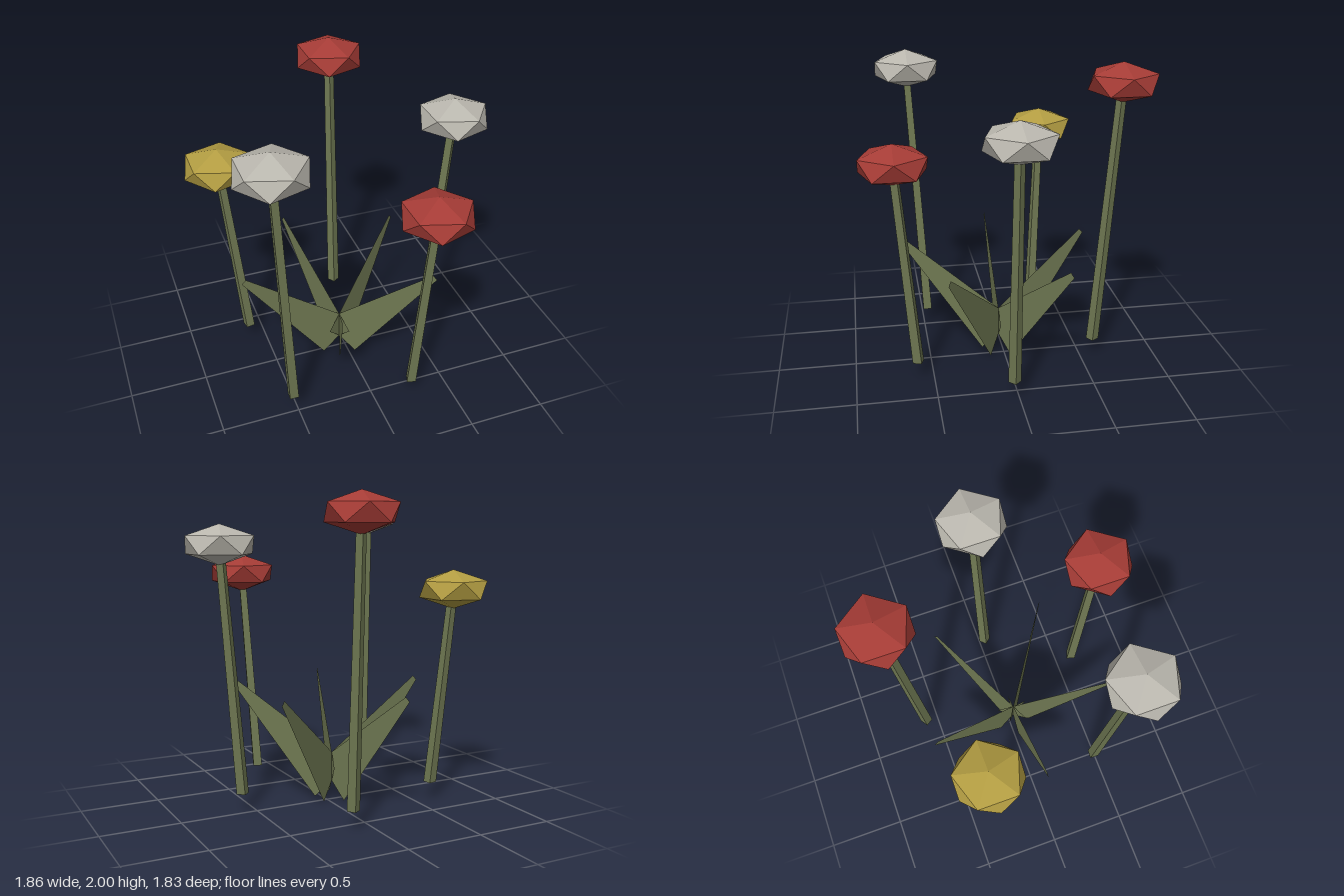
import * as THREE from 'three';

const paint = (color, side = THREE.FrontSide) =>
  new THREE.MeshStandardMaterial({ color, flatShading: true, side });

const GREEN = 0x6f7852, RED = 0xa63c36, YELLOW = 0xb39d42, WHITE = 0xbab7ae;

// Low-poly blossom: an icosahedron standing on a point, squashed in height
function blossomGeometry() {
  const golden = (1 + Math.sqrt(5)) / 2;
  const g = new THREE.IcosahedronGeometry(1, 0);
  g.rotateZ(-Math.atan(1 / golden));
  g.scale(0.24, 0.125, 0.24);
  return g;
}

// Four-sided tapered stem, one edge facing outward, sheared from foot to top
function stemGeometry(foot, top) {
  const height = top.y - foot.y;
  const g = new THREE.CylinderGeometry(0.031, 0.041, height, 4);
  g.rotateY(-Math.atan2(top.z - foot.z, top.x - foot.x));
  g.translate(0, height / 2, 0);
  const p = g.attributes.position;
  for (let i = 0; i < p.count; i++) {
    const t = p.getY(i) / height;
    p.setXYZ(i,
      p.getX(i) + THREE.MathUtils.lerp(foot.x, top.x, t),
      p.getY(i) + foot.y,
      p.getZ(i) + THREE.MathUtils.lerp(foot.z, top.z, t));
  }
  g.computeVertexNormals();
  return g;
}

// Flat tapered blade, upright in its plane and leaning out at 45 degrees
function leafGeometry() {
  const length = 0.91, wide = 0.16, narrow = 0.02;
  const g = new THREE.ShapeGeometry(new THREE.Shape([
    new THREE.Vector2(-wide, 0), new THREE.Vector2(wide, 0),
    new THREE.Vector2(narrow, length), new THREE.Vector2(-narrow, length),
  ]));
  g.rotateZ(-Math.PI / 4);
  return g;
}

export function createModel() {
  const model = new THREE.Group();
  model.name = 'flowerClump';
  const green = paint(GREEN);
  const leafGreen = paint(GREEN, THREE.DoubleSide);
  const blossom = blossomGeometry();

  // Flowers: colour, foot x and z, head x, y and z
  const flowers = [
    [RED, 0.125, -0.585, 0.15, 1.875, -0.71],
    [YELLOW, -0.61, -0.30, -0.715, 1.395, -0.37],
    [WHITE, 0.585, 0.03, 0.712, 1.685, 0.03],
    [WHITE, -0.525, 0.475, -0.615, 1.855, 0.56],
    [RED, 0.245, 0.60, 0.30, 1.47, 0.71],
  ];
  for (const [color, fx, fz, hx, hy, hz] of flowers) {
    const flower = new THREE.Group();
    flower.name = 'flower';
    const foot = new THREE.Vector3(fx, 0.12, fz);
    const top = new THREE.Vector3(hx, hy, hz);
    const stem = new THREE.Mesh(stemGeometry(foot, top), green);
    stem.name = 'stem';
    const head = new THREE.Mesh(blossom, paint(color));
    head.name = 'blossom';
    head.position.copy(top);
    flower.add(stem, head);
    model.add(flower);
  }

  // Leaves: five blades fanned around the centre
  const leaves = new THREE.Group();
  leaves.name = 'leaves';
  leaves.position.set(-0.05, 0.115, 0.03);
  const blade = leafGeometry();
  for (let i = 0; i < 5; i++) {
    const leaf = new THREE.Mesh(blade, leafGreen);
    leaf.name = 'leaf';
    leaf.rotation.y = Math.PI + (i * 2 * Math.PI) / 5;
    leaves.add(leaf);
  }
  model.add(leaves);
  return model;
}
